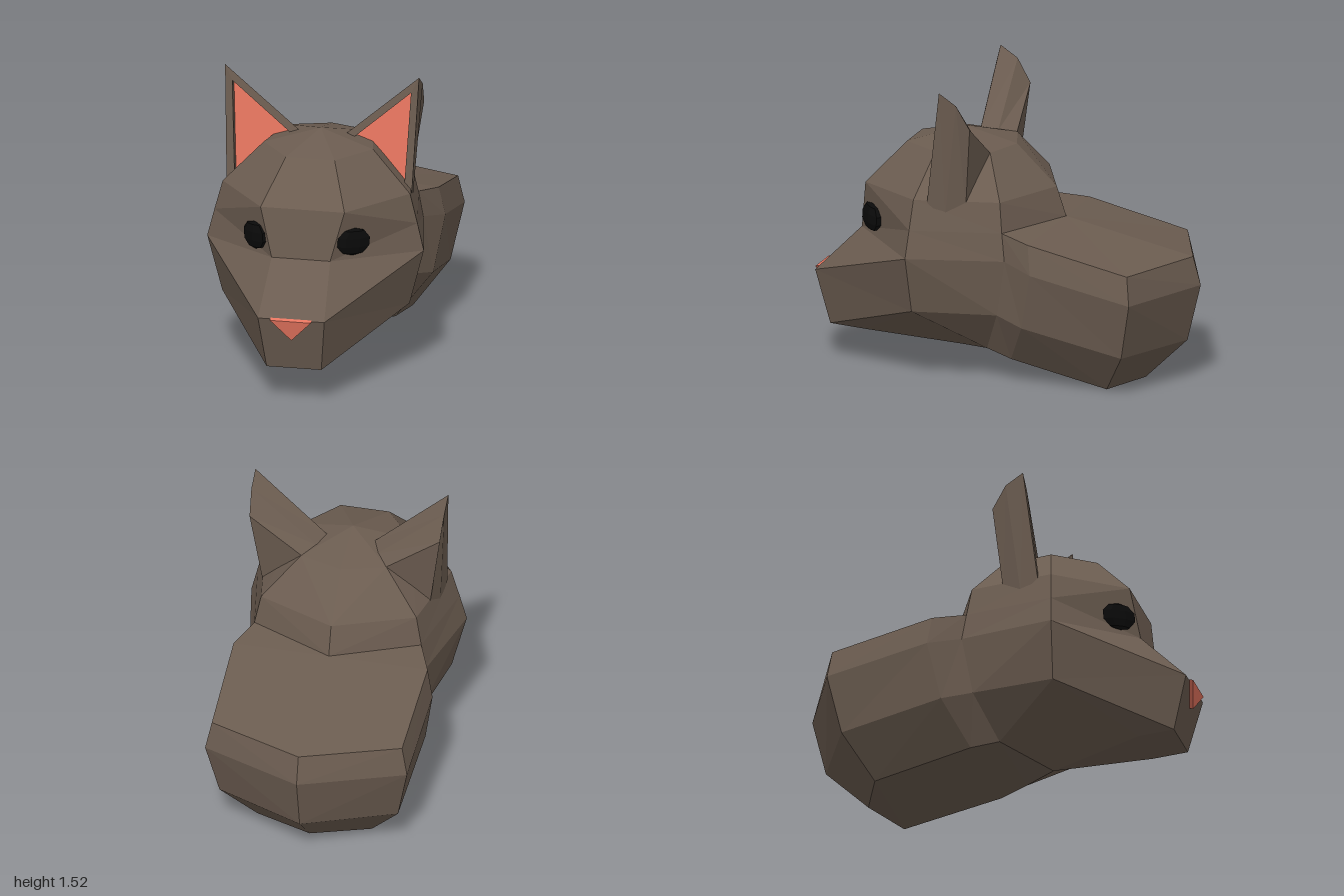
import * as THREE from 'three';

const mat = (color, side = THREE.FrontSide) =>
  new THREE.MeshStandardMaterial({ color, flatShading: true, roughness: 0.9, side });
const fur = mat(0x6b5c50, THREE.DoubleSide);
const pink = mat(0xe87660, THREE.DoubleSide);
const black = mat(0x0a0a0a);

const V = (x, y, z) => new THREE.Vector3(x, y, z);
const pts = (rows) => rows.map((r) => V(...r));
const mid = (p) => V(0, p.y, p.z);
const flip = (p) => V(-p.x, p.y, p.z);

// Flat polygons as triangle fans, each wound to face away from the centre
function facets(polys, centre) {
  const out = [];
  for (const poly of polys) {
    for (let i = 1; i < poly.length - 1; i++) {
      const [a, b, c] = [poly[0], poly[i], poly[i + 1]];
      const n = b.clone().sub(a).cross(c.clone().sub(a));
      const away = a.clone().add(b).add(c).divideScalar(3).sub(centre);
      for (const p of n.dot(away) >= 0 ? [a, b, c] : [a, c, b]) out.push(p.x, p.y, p.z);
    }
  }
  const g = new THREE.BufferGeometry();
  g.setAttribute('position', new THREE.Float32BufferAttribute(out, 3));
  g.computeVertexNormals();
  return g;
}

// Quads between two equally long rows of points
const strip = (a, b) => a.slice(1).map((p, i) => [a[i], p, b[i + 1], b[i]]);
const bothSides = (polys) => [...polys, ...polys.map((q) => q.map(flip))];

function add(group, name, geometry, material) {
  const m = new THREE.Mesh(geometry, material);
  m.name = name;
  group.add(m);
  return m;
}

export function createModel() {
  const model = new THREE.Group();
  model.name = 'animal';

  // Head columns on the left half, from crown down
  const crown = V(0, 1.23, 0.25);
  const throat = V(0, 0.09, 0.25);
  const front = pts([[0.125, 1.155, 0.51], [0.215, 0.95, 0.7], [0.15, 0.7, 0.74],
    [0.17, 0.46, 0.98], [0.14, 0.18, 0.91], [0.14, 0.165, 0.73]]);
  const side = pts([[0.28, 1.155, 0.31], [0.48, 0.95, 0.36], [0.52, 0.8, 0.37],
    [0.555, 0.66, 0.38], [0.48, 0.37, 0.37]]);
  const rear = pts([[0.22, 1.155, 0.04], [0.4, 0.95, -0.07], [0.43, 0.8, -0.09],
    [0.45, 0.66, -0.11], [0.42, 0.37, -0.06], [0.27, 0.155, 0.04]]);
  const nape = pts([[0, 1.155, -0.03], [0, 0.95, -0.24], [0, 0.8, -0.29]]);
  const [jaw, chin, cheek, neck] = [front[4], front[5], side[4], rear[5]];

  const head = [
    [crown, mid(front[0]), front[0]], [crown, front[0], side[0]],
    [crown, side[0], rear[0]], [crown, rear[0], nape[0]],
    ...strip(front, front.map(mid)),
    ...strip(front.slice(0, 5), side),
    ...strip(side, rear.slice(0, 5)),
    ...strip(rear.slice(0, 3), nape),
    [jaw, chin, cheek], [chin, throat, cheek], [chin, throat, mid(chin)],
    [cheek, throat, neck, rear[4]], [throat, neck, mid(neck)],
  ];
  add(model, 'head', facets(bothSides(head), V(0, 0.6, 0.3)), fur);

  // Body stations from the neck back, each from top edge to belly edge
  const stations = [
    rear.slice(2),
    pts([[0.5, 0.77, -0.25], [0.53, 0.62, -0.27], [0.48, 0.33, -0.21], [0.31, 0.12, -0.1]]),
    pts([[0.49, 0.645, -0.77], [0.52, 0.5, -0.79], [0.46, 0.21, -0.73], [0.295, 0, -0.6]]),
    pts([[0, 0.645, -0.96], [0, 0.5, -1], [0, 0.21, -0.93], [0, 0, -0.71]]),
  ];
  const belly = stations.map((s) => s[3]);
  const body = [
    ...strip(stations[0], stations[1]),
    ...strip(stations[1], stations[2]),
    ...strip(stations[2], stations[3]),
    ...strip(belly, belly.map(mid)),
    [nape[2], ...stations.map((s) => s[0])],
  ];
  add(model, 'body', facets(bothSides(body), V(0, 0.4, -0.4)), fur);

  // Ear rings (tip, outer base, inner base), front to back, then the recessed lining
  const earRings = [
    pts([[0.497, 1.52, 0.22], [0.475, 0.94, 0.29], [0.11, 1.18, 0.2]]),
    pts([[0.497, 1.46, 0.13], [0.46, 0.86, 0.2], [0.15, 1.17, 0.12]]),
    pts([[0.49, 1.34, 0.06], [0.43, 0.92, 0.1], [0.21, 1.15, 0.04]]),
  ];
  const rim = pts([[0.458, 1.44, 0.23], [0.435, 0.96, 0.286], [0.16, 1.175, 0.215]]);
  const lining = rim.map((p) => V(p.x, p.y, p.z - 0.04));
  const loop = (r) => [...r, r[0]];
  const ear = [
    ...strip(loop(earRings[0]), loop(earRings[1])),
    ...strip(loop(earRings[1]), loop(earRings[2])),
    ...strip(loop(earRings[0]), loop(rim)),
    earRings[2],
  ];
  const pocket = strip(loop(rim), loop(lining));

  for (const [label, s] of [['left', 1], ['right', -1]]) {
    const place = (polys) => polys.map((q) => q.map((p) => V(s * p.x, p.y, p.z)));
    const earGroup = new THREE.Group();
    earGroup.name = label + 'Ear';
    add(earGroup, 'earShell', facets(place(ear), V(s * 0.38, 1.15, 0.15)), fur);
    add(earGroup, 'earPocket', facets(place(pocket), V(s * 0.38, 1.15, 0.24)), fur);
    add(earGroup, 'earLining', facets(place([lining]), V(s * 0.38, 1.15, 0)), pink);
    model.add(earGroup);

    // Flattened low-poly eye set against the brow
    const eye = add(model, label + 'Eye', new THREE.SphereGeometry(1, 7, 5), black);
    eye.scale.set(0.1, 0.072, 0.032);
    eye.position.set(s * 0.253, 0.783, 0.655);
    eye.rotation.set(0, s * 0.75, s * -0.1);
  }

  // Nose: thin triangular wedge on the sloped snout
  const noseShape = new THREE.Shape([
    new THREE.Vector2(-0.105, 0), new THREE.Vector2(0, -0.113), new THREE.Vector2(0.105, 0)]);
  const nose = add(model, 'nose',
    new THREE.ExtrudeGeometry(noseShape, { depth: 0.025, bevelEnabled: false }), pink);
  nose.position.set(0, 0.465, 0.976);
  nose.rotation.x = 0.24;

  return model;
}
